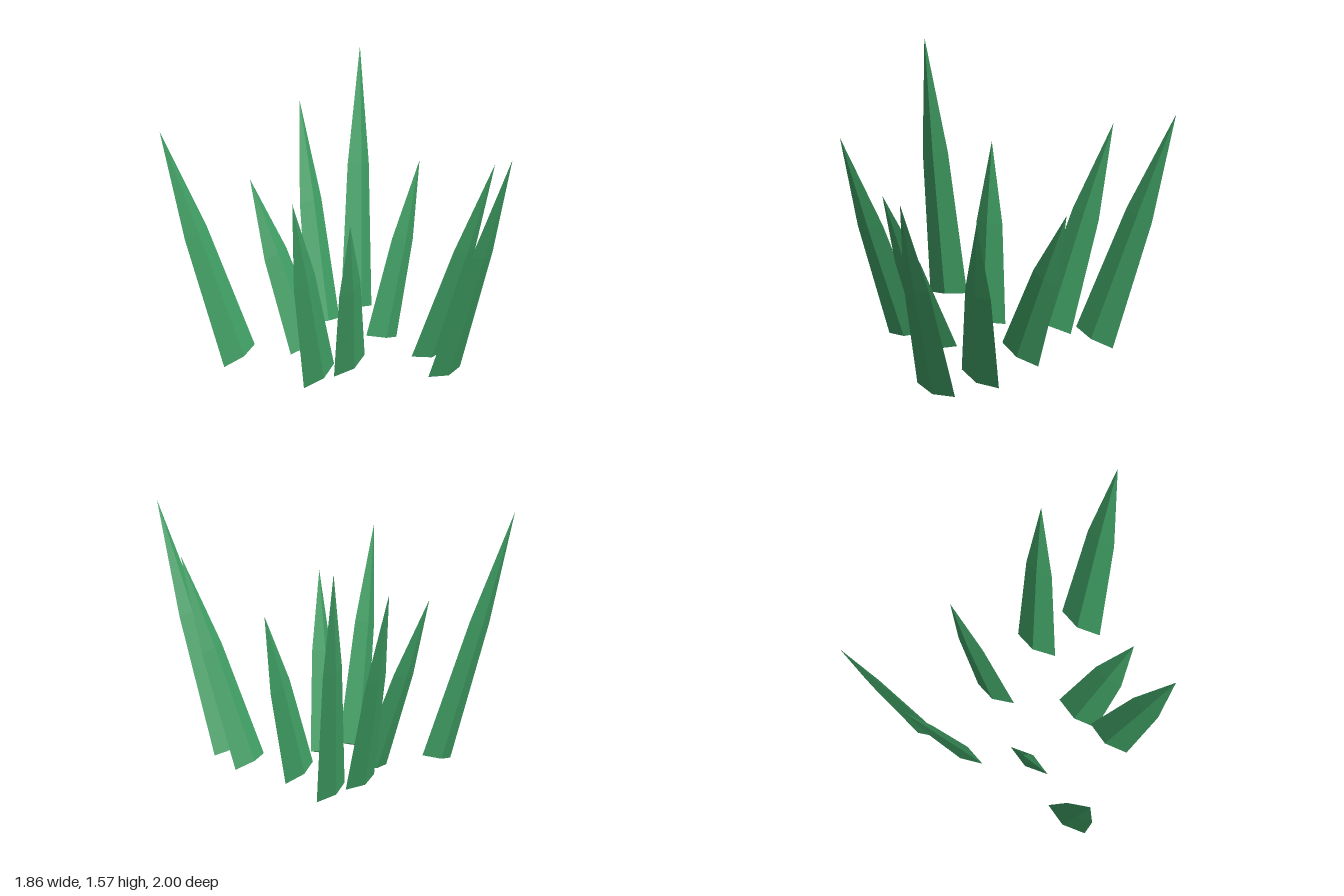
import * as THREE from 'three';

const HALF_WIDTH = 0.142, HALF_DEPTH = 0.042;

// Each blade: base centre x, z, then tip x, y, z
const BASE_Y = 0.05;
const BLADES = [
  [-0.533, -0.605, -0.93, 1.58, -0.91],
  [-0.122, -0.425, -0.30, 1.12, -0.735],
  [0.237, -0.615, 0.43, 1.35, -1.0],
  [0.545, -0.63, 0.93, 1.58, -0.96],
  [0.298, -0.185, 0.645, 1.12, -0.187],
  [-0.437, -0.022, -0.84, 1.355, 0.13],
  [-0.187, 0.0, -0.44, 1.12, 0.245],
  [0.28, 0.22, 0.505, 1.35, 0.585],
  [0.14, 0.495, 0.22, 1.58, 1.0],
];

// Four-sided tapering spike with a diamond section and faceted normals
function bladeGeometry(length) {
  const profile = [[0, 0], [1, 0], [0.69, 0.55], [0, 1]].map(([r, y]) => new THREE.Vector2(r, y));
  const lathe = new THREE.LatheGeometry(profile, 4);
  lathe.scale(HALF_WIDTH, length, HALF_DEPTH);
  const flat = lathe.toNonIndexed();
  flat.computeVertexNormals();
  return flat;
}

export function createModel() {
  const group = new THREE.Group();
  group.name = 'grassTuft';
  const green = new THREE.MeshStandardMaterial({ color: 0x3f9e63 });
  green.name = 'leafGreen';

  BLADES.forEach(([bx, bz, tx, ty, tz], i) => {
    const base = new THREE.Vector3(bx, BASE_Y, bz);
    const axis = new THREE.Vector3(tx, ty, tz).sub(base);
    const blade = new THREE.Mesh(bladeGeometry(axis.length()), green);
    blade.name = `grassBlade${i + 1}`;
    // Broad side stays in the front plane while the blade leans towards its tip
    axis.normalize();
    const across = new THREE.Vector3(axis.y, -axis.x, 0).normalize();
    const through = new THREE.Vector3().crossVectors(across, axis);
    blade.quaternion.setFromRotationMatrix(new THREE.Matrix4().makeBasis(across, axis, through));
    blade.position.copy(base);
    group.add(blade);
  });
  return group;
}
